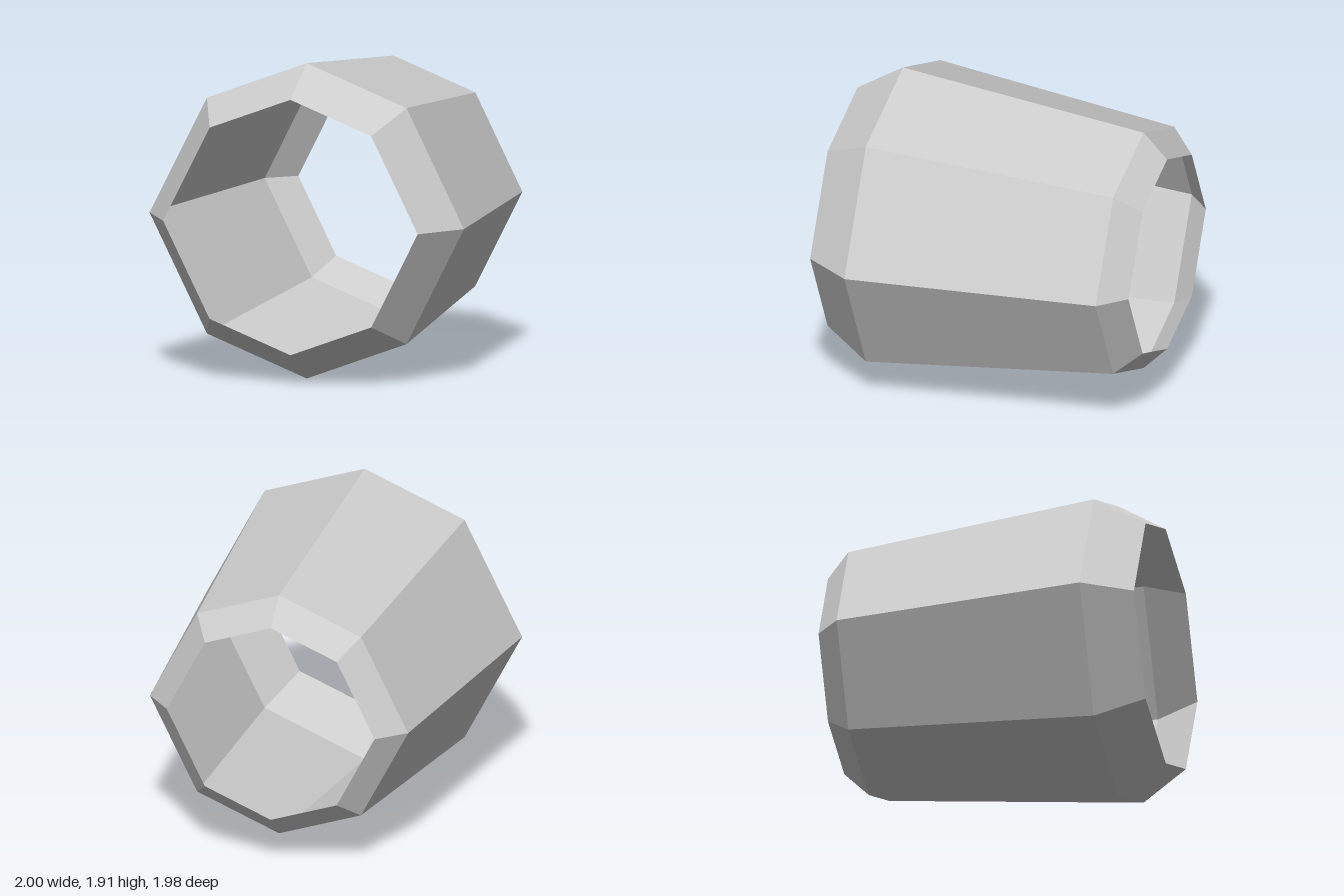
import * as THREE from 'three';

export function createModel() {
  const group = new THREE.Group();
  group.name = 'openBarrel';
  const grey = new THREE.MeshStandardMaterial({ color: 0xcccccc, flatShading: true, side: THREE.DoubleSide });
  grey.name = 'light grey';

  // Profile along the axis: [radius, z], from the narrow back rim to the front rim
  const profile = [[0.66, -0.99], [0.82, -0.84], [1, 0.7], [0.81, 0.99]]
    .map(([r, z]) => new THREE.Vector2(r, z));
  const lathe = new THREE.LatheGeometry(profile, 8).rotateX(Math.PI / 2);

  // Adjust the octagon: slightly flat in height, with corners pulled in sideways
  const pos = lathe.attributes.position;
  for (let i = 0; i < pos.count; i++) {
    const x = pos.getX(i), y = pos.getY(i);
    const corner = Math.abs(x) > 0.1 && Math.abs(y) > 0.1;
    pos.setXY(i, x * (corner ? 0.898 : 1), y * (corner ? 1.011 : 0.955));
  }
  const shellGeometry = lathe.toNonIndexed();
  shellGeometry.computeVertexNormals();

  // Thin open-ended shell
  const shell = new THREE.Mesh(shellGeometry, grey);
  shell.name = 'shell';
  shell.position.y = 0.955;
  group.add(shell);
  return group;
}
